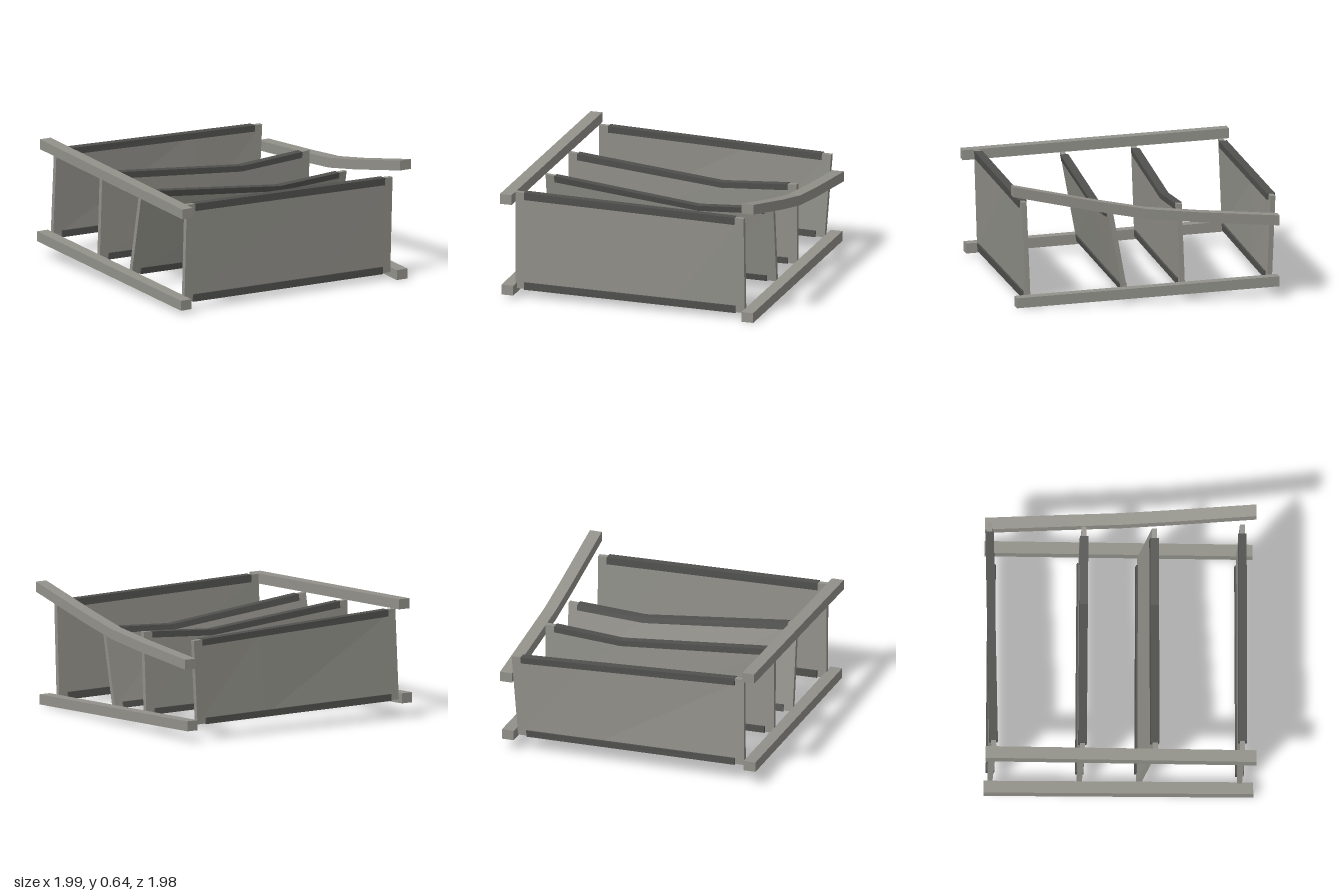
import * as THREE from 'three';

const V = (x, y, z) => new THREE.Vector3(x, y, z);

// Flat-sided beam through rows of [bottom centre, top centre]
function beam(rows, width) {
  const d = rows[rows.length - 1][0].clone().sub(rows[0][0]);
  const s = d.cross(V(0, 1, 0)).normalize().multiplyScalar(width / 2);
  const rings = rows.map(([b, t]) => [
    b.clone().sub(s), b.clone().add(s), t.clone().add(s), t.clone().sub(s),
  ]);
  const pts = [];
  const quad = (a, b, c, e) => pts.push(a, b, c, a, c, e);
  quad(...rings[0]);
  quad(...rings[rings.length - 1].slice().reverse());
  for (let i = 0; i + 1 < rings.length; i++) {
    const a = rings[i], c = rings[i + 1];
    for (let k = 0; k < 4; k++) {
      const n = (k + 1) % 4;
      quad(a[k], c[k], c[n], a[n]);
    }
  }
  const g = new THREE.BufferGeometry().setFromPoints(pts);
  g.computeVertexNormals();
  return g;
}

export function createModel() {
  const wood = new THREE.MeshStandardMaterial({ name: 'weatheredWood', color: 0x92918a });
  const dark = new THREE.MeshStandardMaterial({ name: 'darkWood', color: 0x50504e });
  const root = new THREE.Group();
  root.name = 'brokenFrame';

  const add = (parent, name, geometry, material) => {
    const m = new THREE.Mesh(geometry, material);
    m.name = name;
    parent.add(m);
  };

  // Long rails: points on the underside
  const rails = {
    lowerRightRail: [V(-0.97, 0.08, -0.08), V(-0.02, 0.02, 0.95)],
    upperRightRail: [V(-0.955, 0.575, -0.08), V(-0.01, 0.515, 0.965)],
    lowerLeftRail: [V(0.02, 0.06, -0.97), V(0.955, 0, 0.06)],
    bentUpperLeftRail: [
      V(0.03, 0.385, -0.975), V(0.32, 0.42, -0.66), V(0.5, 0.447, -0.46),
      V(0.67, 0.495, -0.27), V(0.975, 0.592, 0.07),
    ],
  };
  for (const [name, path] of Object.entries(rails)) {
    add(root, name, beam(path.map((p) => [p, p.clone().add(V(0, 0.053, 0))]), 0.065), wood);
  }

  // Cross boards: bottom and top of each end, and the sag of the top edge
  const boards = [
    { name: 'backBoard', sag: 0,
      a: [V(-0.92, 0.1, -0.08), V(-0.9, 0.575, -0.07)], b: [V(0.01, 0.085, -0.91), V(0.025, 0.53, -0.94)] },
    { name: 'innerBackBoard', sag: 0.045,
      a: [V(-0.61, 0.085, 0.265), V(-0.595, 0.555, 0.275)], b: [V(0.33, 0.07, -0.575), V(0.345, 0.505, -0.565)] },
    { name: 'leaningBoard', sag: 0.045,
      a: [V(-0.4, 0.075, 0.49), V(-0.335, 0.54, 0.55)], b: [V(0.53, 0.06, -0.345), V(0.59, 0.475, -0.295)] },
    { name: 'frontBoard', sag: 0,
      a: [V(-0.05, 0.045, 0.88), V(-0.035, 0.57, 0.89)], b: [V(0.88, 0.03, 0.03), V(0.895, 0.545, 0.045)] },
  ];
  const bend = 0.67;
  for (const { name, sag, a, b } of boards) {
    const group = new THREE.Group();
    group.name = name;
    root.add(group);
    const row = (t) => {
      const drop = sag * (t < bend ? t / bend : (1 - t) / (1 - bend));
      return [a[0].clone().lerp(b[0], t), a[1].clone().lerp(b[1], t).sub(V(0, drop, 0))];
    };
    add(group, 'panel', beam([0, bend, 1].map(row), 0.026), wood);

    // Dark strips wrapping the lower and upper edges
    const strip = (from, to) => beam([0.04, bend, 0.96].map((t) => {
      const [lo, hi] = row(t);
      return [lo.clone().lerp(hi, from), lo.clone().lerp(hi, to)];
    }), 0.044);
    add(group, 'lowerStrip', strip(-0.005, 0.07), dark);
    add(group, 'upperStrip', strip(0.93, 1.005), dark);
  }
  return root;
}
